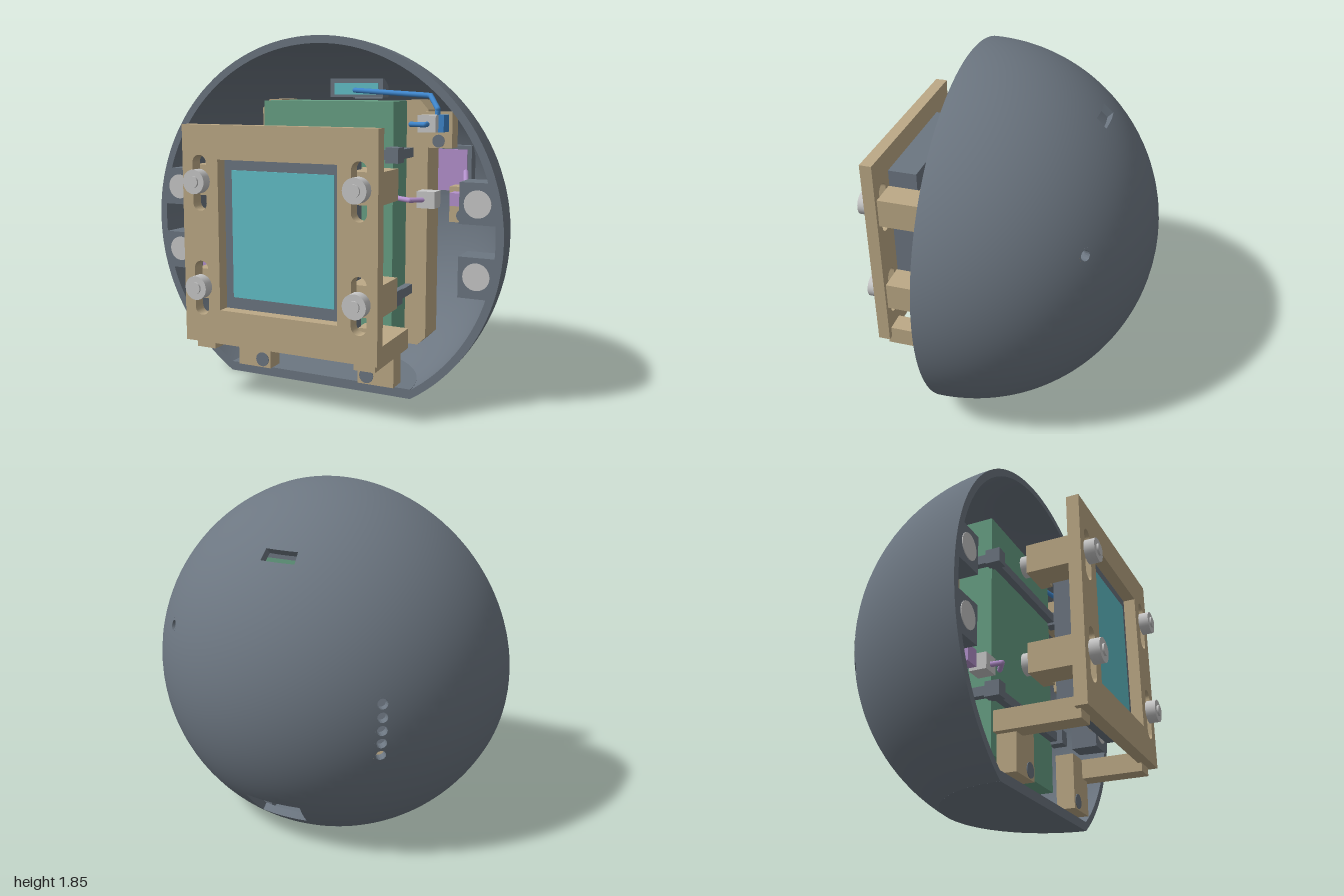
import * as THREE from 'three';

const mat = (name, color, side = THREE.FrontSide) => {
  const m = new THREE.MeshStandardMaterial({ color, side });
  m.name = name;
  return m;
};

export function createModel() {
  const slate = mat('slate grey', 0x6c7681);
  const tan = mat('tan', 0xbca986);
  const green = mat('board green', 0x68a085);
  const cyan = mat('screen cyan', 0x62c0c9);
  const purple = mat('purple', 0xb592ce);
  const blue = mat('blue', 0x3f86cc);
  const silver = mat('silver', 0xc8c8c8);

  const model = new THREE.Group();
  const add = (name, geo, material, x = 0, y = 0, z = 0) => {
    const m = new THREE.Mesh(geo, material);
    m.name = name;
    m.position.set(x, y, z);
    model.add(m);
    return m;
  };
  // Box given by its limits on each axis
  const box = (name, material, x0, x1, y0, y1, z0, z1) =>
    add(name, new THREE.BoxGeometry(x1 - x0, y1 - y0, z1 - z0), material,
      (x0 + x1) / 2, (y0 + y1) / 2, (z0 + z1) / 2);
  // Cylinder lying along z
  const rod = (name, material, x, y, z0, z1, r) =>
    add(name, new THREE.CylinderGeometry(r, r, z1 - z0, 28).rotateX(Math.PI / 2), material, x, y, (z0 + z1) / 2);
  const poly = (pts) => new THREE.Shape(pts.map(([x, y]) => new THREE.Vector2(x, y)));
  const prism = (name, material, shape, z0, z1) =>
    add(name, new THREE.ExtrudeGeometry(shape, { depth: z1 - z0, bevelEnabled: false, curveSegments: 16 }), material, 0, 0, z0);
  const wire = (name, material, pts, r = 0.014) => {
    const path = new THREE.CurvePath();
    const v = pts.map((p) => new THREE.Vector3(...p));
    for (let i = 1; i < v.length; i++) path.add(new THREE.LineCurve3(v[i - 1], v[i]));
    add(name, new THREE.TubeGeometry(path, 40, r, 10), material);
    v.forEach((p) => add(name + 'Joint', new THREE.SphereGeometry(r, 10, 8), material, p.x, p.y, p.z));
  };

  // Half-sphere shell with windows and round holes, flat at the front and bottom
  const shell = add('shell', shellGeometry(), slate, 0, 0.845, 0.255);
  shell.material = slate;
  const half = new THREE.Shape();
  half.absarc(0, 0, 0.535, 0, Math.PI, false);
  half.closePath();
  add('shellFloor', new THREE.ExtrudeGeometry(half, { depth: 0.05, bevelEnabled: false, curveSegments: 40 })
    .rotateX(-Math.PI / 2), slate, 0, 0, 0.255);

  for (const s of [-1, 1]) {
    // Magnet seats inside the rim
    for (const t of [-1, 1]) {
      const edge = [0.285, 0.22, 0.15, 0.08].map((d) => [s * Math.sqrt(0.975 ** 2 - d * d), 0.845 + t * d]);
      const pts = [[s * 0.775, 0.845 + t * 0.08], [s * 0.775, 0.845 + t * 0.285], ...edge];
      prism('magnetSeat', slate, poly(pts), 0.1, 0.255);
      rod('magnet', silver, s * 0.867, 0.848 + t * 0.178, 0.2, 0.259, 0.068);
    }

    // Lower carrier: foot, screw and forward arm
    box('carrierFoot', tan, s * 0.36 - 0.1, s * 0.36 + 0.1, 0.06, 0.355, 0.2, 0.3);
    rod('footScrew', slate, s * 0.31, 0.105, 0.29, 0.304, 0.039);
    box('carrierArm', tan, s * 0.445 - 0.055, s * 0.445 + 0.055, 0.25, 0.355, 0.2, 0.635);

    // Side rails of the board holder with chamfered corners
    prism('boardRail', tan, poly([[0.375, 0.19], [0.455, 0.19], [0.5, 0.235], [0.5, 1.465], [0.455, 1.515], [0.375, 1.515]]
      .map(([x, y]) => [s * x, y])), -0.24, -0.06);

    // Clamps and bolts holding the display
    for (const y of [0.585, 1.12]) {
      box('clampArm', tan, s * 0.435 - 0.075, s * 0.435 + 0.075, y - 0.08, y + 0.075, 0.385, 0.615);
      box('clampLip', tan, s * 0.415 - 0.09, s * 0.415 + 0.09, y - 0.08, y + 0.075, 0.385, 0.445);
      rod('boltNut', silver, s * 0.435, y, 0.34, 0.385, 0.055);
      rod('boltWasher', silver, s * 0.435, y, 0.68, 0.735, 0.061);
      rod('boltHead', silver, s * 0.435, y, 0.735, 0.745, 0.03);
      rod('boltShaft', silver, s * 0.435, y, 0.6, 0.7, 0.028);
    }

    // Cheeks beside the rear lower window
    box('windowCheek', slate, s * 0.185 - 0.037, s * 0.185 + 0.037, 0.05, 0.18, -0.3, 0);
  }

  // Circuit block and its straps
  box('circuitBlock', green, -0.38, 0.38, 0.19, 1.51, -0.2, 0.13);
  for (const y of [0.5, 1.24]) {
    box('strap', slate, -0.42, 0.42, y - 0.025, y + 0.025, 0.13, 0.17);
    for (const s of [-1, 1]) {
      box('strapBlock', slate, s * 0.4 - 0.035, s * 0.4 + 0.035, y - 0.04, y + 0.04, 0.12, 0.2);
      box('strapSide', slate, s * 0.4 - 0.02, s * 0.4 + 0.02, y - 0.025, y + 0.025, -0.1, 0.13);
    }
  }

  // Front frame with display opening and four slots
  const frame = poly([[-0.535, 0.295], [0.53, 0.295], [0.53, 1.4], [-0.535, 1.4]]);
  frame.holes.push(poly([[-0.328, 0.47], [-0.328, 1.23], [0.325, 1.23], [0.325, 0.47]]));
  for (const x of [-0.435, 0.435]) for (const y of [0.575, 1.11]) {
    const slot = new THREE.Path();
    slot.absarc(x, y + 0.1, 0.04, 0, Math.PI, false);
    slot.absarc(x, y - 0.1, 0.04, Math.PI, Math.PI * 2, false);
    frame.holes.push(slot);
  }
  prism('frontFrame', tan, frame, 0.615, 0.68);
  box('displayBody', slate, -0.35, 0.35, 0.415, 1.28, 0.46, 0.616);
  box('displayScreen', cyan, -0.283, 0.28, 0.53, 1.175, 0.616, 0.622);

  // Sensor panels on the inner wall
  box('topPanelHousing', slate, -0.162, 0.162, 1.525, 1.63, -0.33, -0.25);
  box('topPanel', cyan, -0.135, 0.135, 1.54, 1.605, -0.25, -0.243);
  box('rightPanelHousing', slate, -0.72, -0.42, 0.615, 1.08, -0.36, -0.24);
  box('rightPanel', purple, -0.69, -0.45, 0.645, 1.05, -0.24, -0.232);
  box('leftPanelHousing', slate, 0.42, 0.685, 1.0, 1.27, -0.31, -0.24);
  box('leftPanel', purple, 0.45, 0.662, 1.025, 1.25, -0.24, -0.232);

  // Connector stations: tan bracket, screw, coloured plug and silver plug
  const station = (x, y, plugX, plugMat, plugR, cubeX, cubeY) => {
    box('connectorBracket', tan, x - 0.07, x + 0.07, y - 0.09, y + 0.09, 0.03, 0.12);
    rod('bracketScrew', slate, x, y - 0.055, 0.11, 0.125, 0.032);
    box('colouredPlug', plugMat, plugX - plugR, plugX + plugR, y + 0.035 - plugR, y + 0.035 + plugR, 0.1, 0.2);
    box('silverPlug', silver, cubeX - 0.047, cubeX + 0.047, cubeY - 0.042, cubeY + 0.042, 0.15, 0.24);
  };
  station(0.62, 1.37, 0.63, blue, 0.042, 0.597, 1.405);
  station(0.752, 1.0, 0.74, purple, 0.032, 0.597, 1.03);
  station(-0.715, 0.515, -0.715, purple, 0.042, -0.605, 0.545);

  // Leads
  wire('topLead', blue, [[0, 1.565, -0.23], [0.55, 1.54, 0.05], [0.62, 1.475, 0.14], [0.62, 1.42, 0.14]]);
  wire('blueTail', blue, [[0.6, 1.405, 0.2], [0.6, 1.402, 0.275], [0.52, 1.402, 0.25]], 0.013);
  wire('leftLead', purple, [[0.66, 1.13, -0.22], [0.76, 1.115, 0.1], [0.76, 1.04, 0.15]]);
  wire('leftTail', purple, [[0.597, 1.03, 0.22], [0.53, 1.03, 0.28], [0.4, 1.03, 0.2]], 0.013);
  wire('rightLead', purple, [[-0.605, 0.84, -0.22], [-0.715, 0.6, 0.1], [-0.715, 0.56, 0.15]]);
  wire('rightTail', purple, [[-0.605, 0.54, 0.22], [-0.6, 0.54, 0.295], [-0.53, 0.54, 0.25]], 0.013);
  return model;
}

function shellGeometry() {
  const R = 1, r = 0.96, H = Math.PI / 2, e = 0.0345;
  const pos = [], nor = [];
  const pt = (p, t, rad) => new THREE.Vector3(Math.sin(t) * Math.cos(p), Math.cos(t), -Math.sin(t) * Math.sin(p)).multiplyScalar(rad);
  // Quad facing ref, or a smooth spherical quad when sign is given
  const quad = (q, ref, sign = 0) => {
    const n = q[2].clone().sub(q[0]).cross(q[3].clone().sub(q[1])).normalize();
    const want = sign ? q[0].clone().multiplyScalar(sign) : ref;
    const order = n.dot(want) < 0 ? [0, 2, 1, 0, 3, 2] : [0, 1, 2, 0, 2, 3];
    if (n.dot(want) < 0) n.negate();
    for (const k of order) {
      pos.push(...q[k].toArray());
      nor.push(...(sign ? q[k].clone().normalize().multiplyScalar(sign) : n).toArray());
    }
  };
  const skin = (c) => {
    quad(c.map(([p, t]) => pt(p, t, R)), null, 1);
    quad(c.map(([p, t]) => pt(p, t, r)), null, -1);
  };
  const wall = (a, b, ref) => quad([pt(...a, R), pt(...b, R), pt(...b, r), pt(...a, r)], ref);

  // Windows are [p0, p1, t0, t1]; round holes are cell centres
  const windows = [[H - 0.195, H + 0.195, 2.171, 2.382], [H - 0.13, H + 0.13, 0.727, 0.797]];
  const holes = [[0.878, 1.271]];
  for (let k = -2; k <= 2; k++) holes.push([2.214, 1.601 + k * 2 * e]);

  // Grid lines, with cell edges at every opening
  const lines = (end, n, cuts, cells) => {
    const l = [...cuts];
    for (let k = 0; k <= n; k++) {
      const v = end * k / n;
      if (!cells.some((c) => Math.abs(v - c) < e + 0.008)) l.push(v);
    }
    for (const c of cells) l.push(c - e, c + e);
    return l.sort((a, b) => a - b).filter((v, i, a) => !i || v - a[i - 1] > 1e-4);
  };
  const P = lines(Math.PI, 60, windows.flatMap((w) => [w[0], w[1]]), holes.map((h) => h[0]));
  const T = lines(Math.acos(-0.845), 50, windows.flatMap((w) => [w[2], w[3]]), holes.map((h) => h[1]));
  const windowAt = (p, t) => windows.find((w) => p > w[0] && p < w[1] && t > w[2] && t < w[3]);

  for (let i = 0; i < P.length - 1; i++) for (let j = 0; j < T.length - 1; j++) {
    const [p0, p1, t0, t1] = [P[i], P[i + 1], T[j], T[j + 1]];
    const p = (p0 + p1) / 2, t = (t0 + t1) / 2;
    const c = [[p0, t0], [p1, t0], [p1, t1], [p0, t1]];
    if (windowAt(p, t)) continue;
    if (holes.some((h) => Math.abs(h[0] - p) < 0.01 && Math.abs(h[1] - t) < 0.01)) {
      // Cell with a round hole
      const ring = (k) => {
        const a = Math.PI / 4 + k * Math.PI / 8, x = Math.cos(a), y = Math.sin(a), m = Math.max(Math.abs(x), Math.abs(y));
        return [[p + x / m * (p1 - p0) / 2, t + y / m * (t1 - t0) / 2], [p + x * 0.027, t + y * 0.027]];
      };
      for (let k = 0; k < 16; k++) {
        const [a, b] = ring(k), [d, f] = ring(k + 1);
        skin([a, d, f, b]);
        wall(b, f, pt(p, t, 1).sub(pt(...b, 1)));
      }
    } else skin(c);
    // Front rim and window walls
    if (i === 0) wall(c[0], c[3], new THREE.Vector3(0, 0, 1));
    if (i === P.length - 2) wall(c[1], c[2], new THREE.Vector3(0, 0, 1));
    const next = [[p, t0 - 0.002, 0, 1], [p1 + 0.002, t, 1, 2], [p, t1 + 0.002, 2, 3], [p0 - 0.002, t, 3, 0]];
    for (const [np, nt, a, b] of next)
      if (windowAt(np, nt)) wall(c[a], c[b], pt(np, nt, 1).sub(pt(p, t, 1)));
  }
  const g = new THREE.BufferGeometry();
  g.setAttribute('position', new THREE.Float32BufferAttribute(pos, 3));
  g.setAttribute('normal', new THREE.Float32BufferAttribute(nor, 3));
  return g;
}
